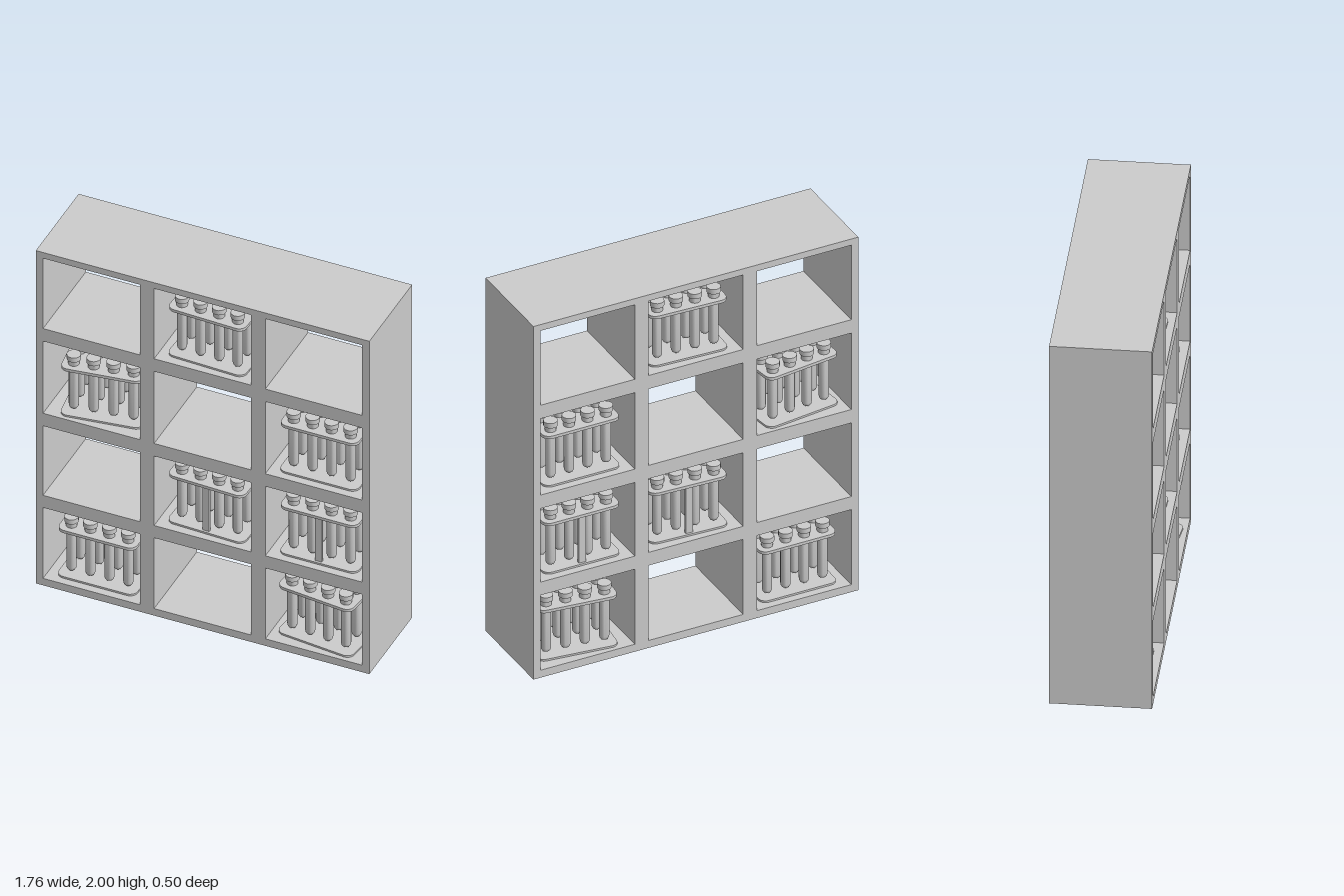
import * as THREE from 'three';
import { toCreasedNormals } from 'three/addons/utils/BufferGeometryUtils.js';

const material = new THREE.MeshStandardMaterial({ color: 0xcccccc });

function part(name, geometry, parent, x = 0, y = 0, z = 0) {
  const mesh = new THREE.Mesh(geometry, material);
  mesh.name = name;
  mesh.position.set(x, y, z);
  parent.add(mesh);
  return mesh;
}

// Rectangular outline, usable as a shape or as a hole
function rectangle(path, x0, y0, x1, y1) {
  path.moveTo(x0, y0);
  path.lineTo(x1, y0);
  path.lineTo(x1, y1);
  path.lineTo(x0, y1);
  path.closePath();
  return path;
}

function roundedSquare(h, r) {
  const s = new THREE.Shape();
  s.absarc(h - r, h - r, r, 0, Math.PI / 2);
  s.absarc(-h + r, h - r, r, Math.PI / 2, Math.PI);
  s.absarc(-h + r, -h + r, r, Math.PI, Math.PI * 1.5);
  s.absarc(h - r, -h + r, r, Math.PI * 1.5, Math.PI * 2);
  s.closePath();
  return s;
}

// Horizontal plate extruded upwards from y = 0
function plateGeometry(shape, thickness) {
  const g = new THREE.ExtrudeGeometry(shape, { depth: thickness, bevelEnabled: false, curveSegments: 8 });
  return toCreasedNormals(g.rotateX(-Math.PI / 2), 0.6);
}

function lathe(points) {
  const g = new THREE.LatheGeometry(points.map(([r, y]) => new THREE.Vector2(r, y)), 18);
  return toCreasedNormals(g, 0.7);
}

const columns = [[-0.842, -0.331], [-0.256, 0.256], [0.331, 0.842]];
const rows = [[0.042, 0.467], [0.541, 0.958], [1.034, 1.467], [1.543, 1.965]];
const grid = [-0.15, -0.05, 0.05, 0.15];

function createRack(geo) {
  const rack = new THREE.Group();
  rack.name = 'testTubeRack';
  part('rackBase', geo.base, rack);
  part('rackTopPlate', geo.top, rack, 0, 0.27, 0);
  for (const side of [-1, 1]) part('rackPost', geo.post, rack, side * 0.188, 0.14, 0);
  for (const x of grid) for (const z of grid) {
    part('testTube', geo.tube, rack, x, 0, z);
    part('stopper', geo.stopper, rack, x, 0, z);
  }
  return rack;
}

export function createModel() {
  const model = new THREE.Group();
  model.name = 'testTubeShelf';

  // Shelf frame with twelve open compartments
  const outline = rectangle(new THREE.Shape(), -0.88, 0, 0.88, 2);
  for (const [x0, x1] of columns) for (const [y0, y1] of rows) {
    outline.holes.push(rectangle(new THREE.Path(), x0, y0, x1, y1));
  }
  const frame = new THREE.ExtrudeGeometry(outline, { depth: 0.498, bevelEnabled: false });
  part('shelfFrame', frame, model, 0, 0, -0.249);

  // Shared rack geometries
  const topShape = roundedSquare(0.206, 0.04);
  for (const x of grid) for (const z of grid) {
    topShape.holes.push(new THREE.Path().absarc(x, z, 0.026, 0, Math.PI * 2, true));
  }
  const geo = {
    base: plateGeometry(roundedSquare(0.208, 0.04), 0.01),
    top: plateGeometry(topShape, 0.016),
    post: new THREE.BoxGeometry(0.016, 0.262, 0.037),
    tube: lathe([[0, 0.02], [0.01, 0.021], [0.018, 0.026], [0.023, 0.034], [0.025, 0.044], [0.025, 0.29], [0, 0.29]]),
    stopper: lathe([[0, 0.276], [0.027, 0.276], [0.029, 0.314], [0.035, 0.314], [0.035, 0.341], [0, 0.341]]),
  };

  // Racks: column, row, turn about the vertical
  const quarter = Math.PI / 2;
  const placements = [
    [0, 0, 0], [2, 0, -0.11],
    [1, 1, quarter - 0.04], [2, 1, quarter],
    [0, 2, 0.13], [2, 2, 0],
    [1, 3, -0.04],
  ];
  for (const [c, r, turn] of placements) {
    const rack = createRack(geo);
    rack.position.set((columns[c][0] + columns[c][1]) / 2, rows[r][0], 0);
    rack.rotation.y = turn;
    model.add(rack);
  }
  return model;
}
